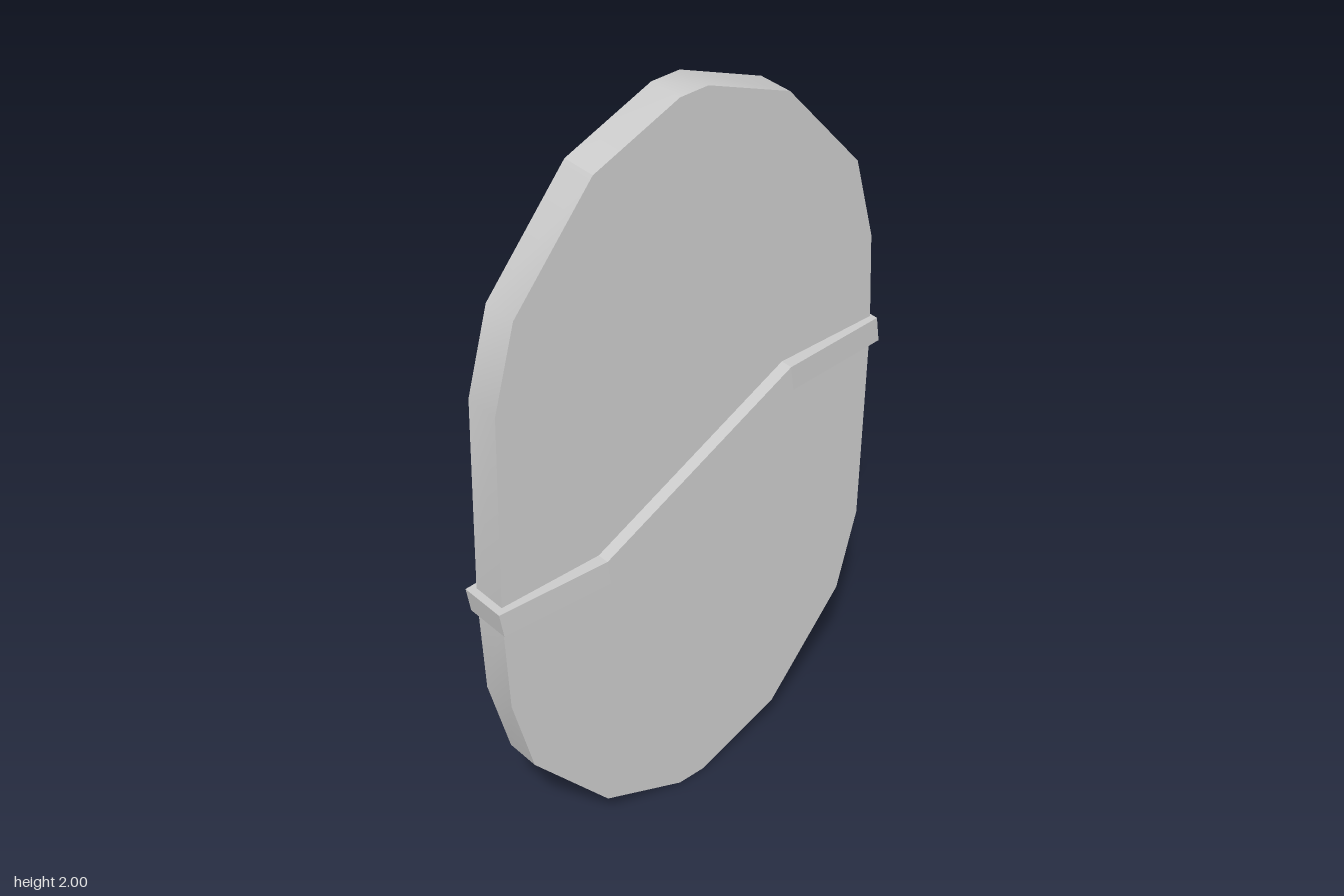
import * as THREE from 'three';
import { toCreasedNormals } from 'three/addons/utils/BufferGeometryUtils.js';

const material = new THREE.MeshStandardMaterial({ color: 0xcccccc });

// Faceted oval plate: half an outline, repeated by a half turn about its centre
function createPlate() {
  const half = [
    [0.04, 2], [0.28, 1.905], [0.503, 1.64], [0.563, 1.42], [0.575, 0.86],
    [0.562, 0.585], [0.503, 0.36], [0.28, 0.1], [0.04, 0],
  ];
  const outline = [...half, ...half.map(([z, y]) => [-z, 2 - y])];
  const shape = new THREE.Shape(outline.map(([z, y]) => new THREE.Vector2(z, y)));
  const geometry = new THREE.ExtrudeGeometry(shape, { depth: 0.093, bevelEnabled: false });
  geometry.rotateY(-Math.PI / 2).translate(0.045, 0, 0);
  const mesh = new THREE.Mesh(toCreasedNormals(geometry, 0.45), material);
  mesh.name = 'ovalPlate';
  return mesh;
}

// Stepped band around the plate, lofted through rectangular sections
function createBand() {
  // half width, top z, top y, bottom z, bottom y
  const sections = [
    [0.062, 0.595, 0.895, 0.583, 0.825],
    [0.077, 0.29, 0.895, 0.28, 0.825],
    [0.077, -0.28, 1.18, -0.29, 1.11],
    [0.062, -0.58, 1.18, -0.59, 1.11],
  ];
  const positions = [];
  const index = [0, 1, 2, 0, 2, 3];
  sections.forEach(([w, zt, yt, zb, yb], i) => {
    positions.push(-w, yb, zb, w, yb, zb, w, yt, zt, -w, yt, zt);
    if (i === sections.length - 1) return;
    for (let j = 0; j < 4; j++) {
      const a = i * 4 + j;
      const b = i * 4 + ((j + 1) % 4);
      index.push(a, a + 4, b, b, a + 4, b + 4);
    }
  });
  const last = (sections.length - 1) * 4;
  index.push(last, last + 2, last + 1, last, last + 3, last + 2);
  const geometry = new THREE.BufferGeometry();
  geometry.setAttribute('position', new THREE.Float32BufferAttribute(positions, 3));
  geometry.setIndex(index);
  const flat = geometry.toNonIndexed();
  flat.computeVertexNormals();
  const mesh = new THREE.Mesh(flat, material);
  mesh.name = 'steppedBand';
  return mesh;
}

export function createModel() {
  const group = new THREE.Group();
  group.name = 'bandedOvalPlate';
  group.add(createPlate(), createBand());
  return group;
}
